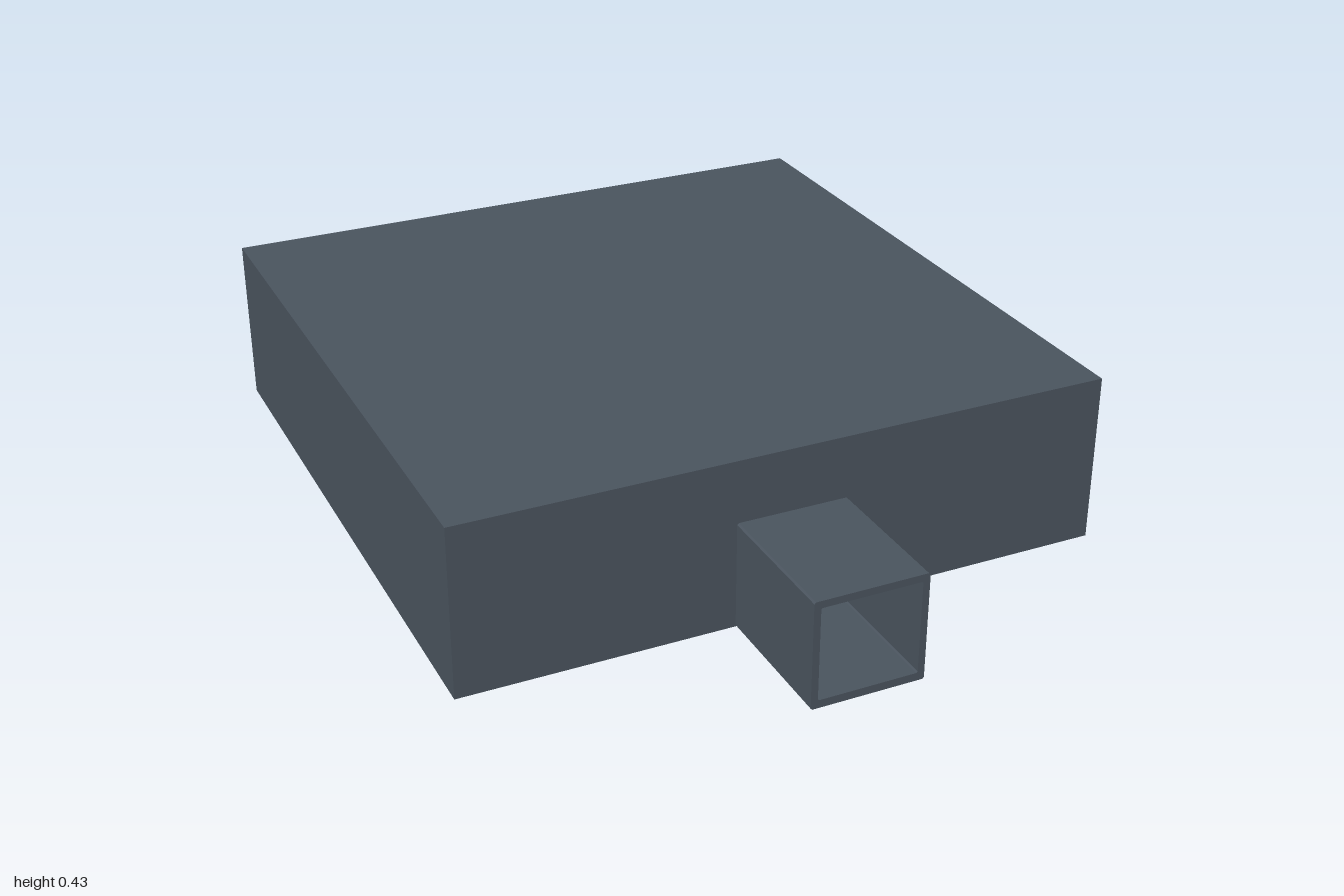
import * as THREE from 'three';

// Rectangle path with small cut corners
function outline(PathType, x, y0, y1, c) {
  const p = new PathType();
  p.moveTo(-x + c, y0);
  p.lineTo(x - c, y0);
  p.lineTo(x, y0 + c);
  p.lineTo(x, y1 - c);
  p.lineTo(x - c, y1);
  p.lineTo(-x + c, y1);
  p.lineTo(-x, y1 - c);
  p.lineTo(-x, y0 + c);
  p.closePath();
  return p;
}

// Rectangular panel with a hole, extruded along z
function frame(x, y0, y1, hole, z0, z1, c) {
  const shape = outline(THREE.Shape, x, y0, y1, c);
  shape.holes.push(outline(THREE.Path, hole.x, hole.y0, hole.y1, 0.003));
  const geo = new THREE.ExtrudeGeometry(shape, { depth: z1 - z0, bevelEnabled: false });
  return geo.translate(0, 0, z0);
}

export function createModel() {
  const group = new THREE.Group();
  const slate = new THREE.MeshStandardMaterial({ color: 0x4a545e });
  slate.name = 'slate';

  const add = (name, geo, x = 0, y = 0, z = 0) => {
    const mesh = new THREE.Mesh(geo, slate);
    mesh.name = name;
    mesh.position.set(x, y, z);
    group.add(mesh);
  };

  const W = 0.82, H = 0.43, back = -1, front = 0.64, t = 0.02;
  const depth = front - back, midZ = (front + back) / 2;

  // Hollow hall: floor, roof and walls
  const innerD = depth - 2 * t, innerH = H - 2 * t;
  add('floor', new THREE.BoxGeometry(2 * W, t, depth), 0, t / 2, midZ);
  add('roof', new THREE.BoxGeometry(2 * W, t, depth), 0, H - t / 2, midZ);
  add('backWall', new THREE.BoxGeometry(2 * W, innerH, t), 0, H / 2, back + t / 2);
  for (const [name, s] of [['leftWall', 1], ['rightWall', -1]]) {
    add(name, new THREE.BoxGeometry(t, innerH, innerD), s * (W - t / 2), H / 2, midZ);
  }

  // Front wall with doorway
  const wall = new THREE.Shape([
    [-W, t], [-0.12, t], [-0.12, 0.25], [0.12, 0.25],
    [0.12, t], [W, t], [W, H - t], [-W, H - t],
  ].map(([x, y]) => new THREE.Vector2(x, y)));
  add('frontWall', new THREE.ExtrudeGeometry(wall, { depth: t, bevelEnabled: false }), 0, 0, front - t);

  // Entrance tunnel, open at both ends
  add('entranceTunnel', frame(0.141, 0, 0.272, { x: 0.124, y0: 0.02, y1: 0.254 }, front, 1, 0.004));

  // Pedestal table inside the hall
  add('tableTop', new THREE.CylinderGeometry(0.073, 0.073, 0.01, 32), 0, 0.053, midZ);
  add('tablePost', new THREE.CylinderGeometry(0.012, 0.012, 0.03, 16), 0, 0.034, midZ);

  return group;
}
